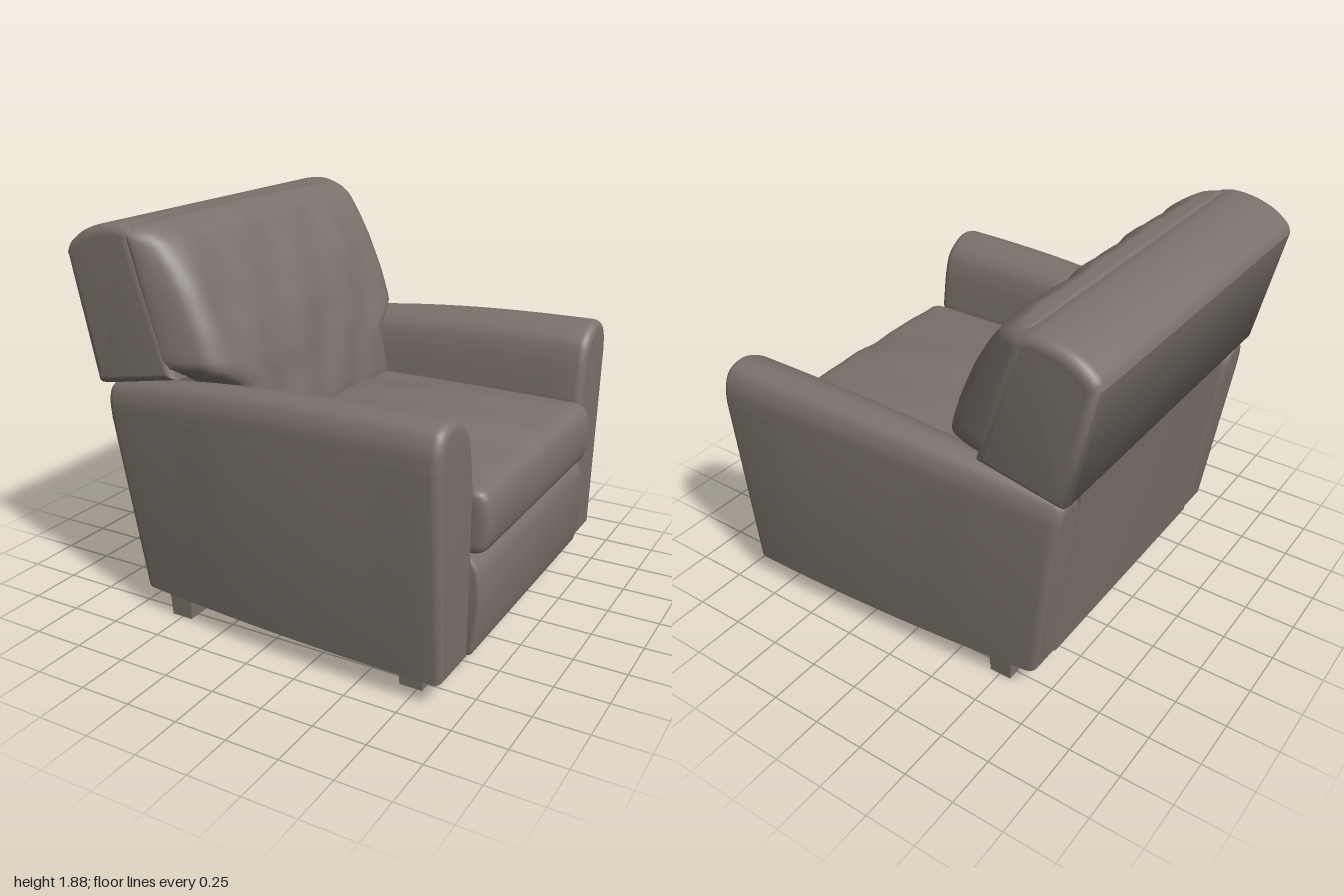
import * as THREE from 'three';
import { mergeVertices, toCreasedNormals } from 'three/addons/utils/BufferGeometryUtils.js';

const { lerp, clamp, smoothstep } = THREE.MathUtils;
const leather = new THREE.MeshStandardMaterial({ color: 0x7a716a });
leather.name = 'taupe leather';

// Move every vertex of a geometry by a rule
function warp(geo, rule) {
  const pos = geo.attributes.position;
  const p = new THREE.Vector3();
  for (let i = 0; i < pos.count; i++) {
    rule(p.fromBufferAttribute(pos, i));
    pos.setXYZ(i, p.x, p.y, p.z);
  }
  return geo;
}

// Extrude with rounded rims, kept inside the given outline and centred in depth
function roundedExtrude(shape, length, bevel, steps = 1) {
  return new THREE.ExtrudeGeometry(shape, {
    depth: length - 2 * bevel, steps, curveSegments: 24,
    bevelThickness: bevel, bevelSize: bevel, bevelOffset: -bevel, bevelSegments: 6,
  }).translate(0, 0, bevel - length / 2);
}

// Cube from -1 to 1 with rounded edges (radii per axis), dense enough to be puffed and creased
function softCube(rx, ry, rz, nx, ny, nz) {
  const geo = new THREE.BoxGeometry(2, 2, 2, nx, ny, nz);
  geo.deleteAttribute('uv');
  geo.deleteAttribute('normal');
  const r = new THREE.Vector3(rx, ry, rz);
  const inner = new THREE.Vector3();
  const spread = (u) => lerp(u, Math.sin(u * Math.PI / 2), 0.7);
  return warp(mergeVertices(geo), (p) => {
    p.set(spread(p.x), spread(p.y), spread(p.z));
    inner.set(clamp(p.x, rx - 1, 1 - rx), clamp(p.y, ry - 1, 1 - ry), clamp(p.z, rz - 1, 1 - rz));
    p.sub(inner).divide(r).normalize().multiply(r).add(inner);
  });
}

// Piecewise linear lookup in [key, value] pairs
function lookup(table, k) {
  for (let i = 1; i < table.length; i++) {
    const [k0, v0] = table[i - 1];
    const [k1, v1] = table[i];
    if (k <= k1) return lerp(v0, v1, clamp((k - k0) / (k1 - k0), 0, 1));
  }
  return table[table.length - 1][1];
}

const points = (list) => list.map(([x, y]) => new THREE.Vector2(x, y));

// Arm: domed section swept along x, narrower and lower at the reclined back
function armGeometry(side) {
  const shape = new THREE.Shape();
  shape.moveTo(side * 0.65, 0.12);
  shape.lineTo(side * 0.645, 0.9);
  shape.splineThru(points([[0.68, 1.1], [0.73, 1.2], [0.84, 1.26], [0.94, 1.24], [0.985, 1.17], [0.995, 1.08]]
    .map(([x, y]) => [side * x, y])));
  shape.lineTo(side * 0.915, 0.12);
  shape.closePath();
  const geo = roundedExtrude(shape, 1.76, 0.045, 16).rotateY(Math.PI / 2).translate(0.04, 0, 0);
  warp(geo, (p) => {
    const back = 1 - clamp((p.x + 0.84) / 1.76, 0, 1);
    const h = (p.y - 0.12) / 1.14;
    const s = Math.sign(p.z);
    p.z = s * (0.65 + (Math.abs(p.z) - 0.65) * (1 - 0.38 * back * back));
    p.x += back * 0.14 * (1 - h);
    p.y -= 0.13 * Math.pow(back, 2.5) * h;
  });
  return toCreasedNormals(geo, 0.5);
}

// Seat cushion: crowned top, bulging front and soft creases
function seatGeometry() {
  const geo = softCube(0.1, 0.3, 0.08, 36, 12, 44);
  warp(geo, (p) => {
    const { x: u, y: v, z: w } = p;
    const edge = (1 - w * w) * (1 - u * u);
    const top = smoothstep(v, 0, 1);
    const crease = Math.sin(9 * w + 3 * u) * 0.006 + Math.sin(17 * w - 5 * u + 1) * 0.003;
    const front = smoothstep(u, 0.6, 1);
    p.x = 0.31 + u * 0.64 + front * 0.035 * (1 - v * v * 0.8);
    p.y = 0.745 + v * 0.15 + top * (edge * 0.065 + crease * (1 - w * w));
    p.z = w * 0.648;
  });
  geo.computeVertexNormals();
  return geo;
}

// Back cushion: plump front leaning back, tucked between the arms and spreading above them
function backCushionGeometry() {
  const frontX = [[0.8, -0.14], [0.95, -0.15], [1.24, -0.205], [1.42, -0.265], [1.6, -0.345], [1.72, -0.415], [1.8, -0.475], [1.87, -0.56]];
  const geo = softCube(0.5, 0.1, 0.12, 16, 40, 56);
  warp(geo, (p) => {
    const { x: u, y: v, z: w } = p;
    const y = 1.335 + v * 0.535;
    const front = (u + 1) / 2;
    const rear = lerp(-0.45, -0.68, (v + 1) / 2);
    const half = lerp(0.645, 0.885 - 0.1 * front * front, smoothstep(y, 1.12, 1.28));
    const fold = Math.sin(12 * w + 4 * v) * 0.006 + Math.sin(23 * w - 6 * v) * 0.004
      + Math.sin(7 * v + 3 * w) * 0.004;
    const fade = smoothstep(u, 0, 1) * (1 - Math.pow(w, 6));
    p.x = lerp(rear, lookup(frontX, y), front) + fold * fade;
    p.y = y + 0.012 * (1 - w * w) * smoothstep(v, 0.7, 1);
    p.z = w * half;
  });
  geo.computeVertexNormals();
  return geo;
}

export function createModel() {
  const model = new THREE.Group();
  const add = (name, geo) => {
    const mesh = new THREE.Mesh(geo, leather);
    mesh.name = name;
    model.add(mesh);
    return mesh;
  };

  // Arms
  add('leftSideArm', armGeometry(1));
  add('rightSideArm', armGeometry(-1));

  // Base with a gently bulging front panel
  const base = new THREE.Shape();
  base.moveTo(-0.6, 0.122);
  base.lineTo(0.9, 0.122);
  base.splineThru(points([[0.93, 0.15], [0.95, 0.27], [0.957, 0.4], [0.945, 0.52], [0.915, 0.58]]));
  base.lineTo(0.86, 0.597);
  base.lineTo(-0.6, 0.597);
  add('base', toCreasedNormals(roundedExtrude(base, 1.305, 0.02), 0.5));

  // Rear panel between the arms
  const rear = new THREE.Shape(points([[-0.697, 0.122], [-0.4, 0.122], [-0.4, 1.17], [-0.825, 1.125]]));
  add('rearPanel', toCreasedNormals(roundedExtrude(rear, 1.31, 0.015), 0.5));

  // Upper back frame resting on the arms
  const frame = new THREE.Shape();
  frame.moveTo(-0.865, 1.15);
  frame.splineThru(points([[-0.85, 1.135], [-0.825, 1.135]]));
  frame.lineTo(-0.42, 1.21);
  frame.lineTo(-0.63, 1.86);
  frame.splineThru(points([[-0.7, 1.875], [-0.8, 1.865], [-0.9, 1.83], [-0.975, 1.775], [-0.998, 1.73]]));
  frame.closePath();
  add('backFrame', toCreasedNormals(roundedExtrude(frame, 1.77, 0.05), 0.5));

  // Cushions
  add('backCushion', backCushionGeometry());
  add('seatCushion', seatGeometry());

  // Feet, slightly tapered
  for (const x of [-0.503, 0.72]) {
    for (const z of [-0.73, 0.73]) {
      const foot = new THREE.BoxGeometry(0.125, 0.14, 0.165);
      warp(foot, (p) => {
        if (p.y < 0) { p.x *= 0.87; p.z *= 0.92; }
      });
      add('foot', foot).position.set(x, 0.07, z);
    }
  }
  return model;
}
